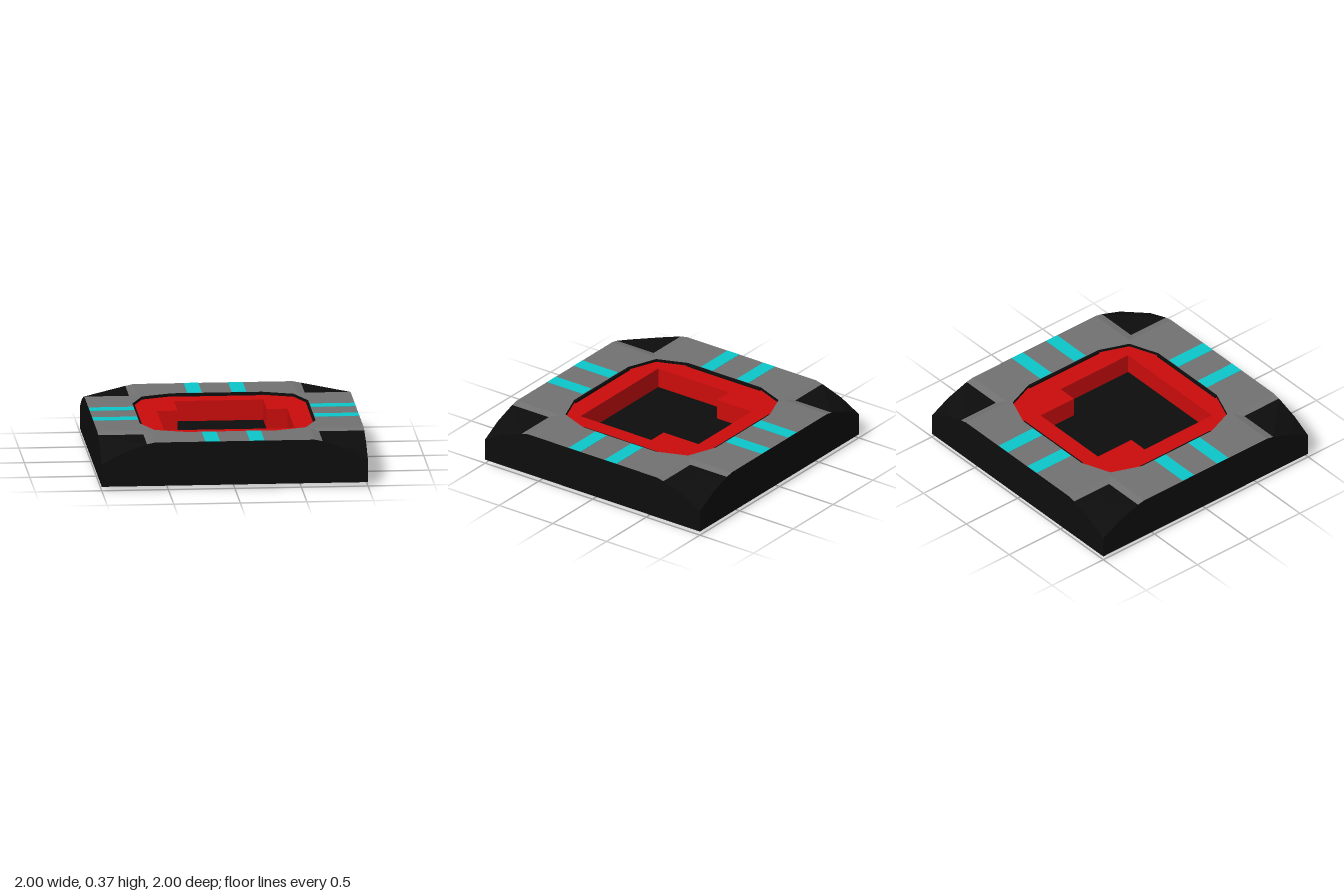
import * as THREE from 'three';

const mat = (color) => new THREE.MeshStandardMaterial({ color, side: THREE.DoubleSide, flatShading: true });

export function createModel() {
  const group = new THREE.Group();
  const black = mat(0x0d0d0d), red = mat(0xcc0c0c), grey = mat(0x727272), cyan = mat(0x0cc8cc);
  const TOP = 0.363, EDGE = 0.35, BASE = 0.03, RING = 0.34, BLOCK = 0.16, FLOOR = 0.185;

  const add = (name, geo, material, parent = group) => {
    const mesh = new THREE.Mesh(geo, material);
    mesh.name = name;
    parent.add(mesh);
    return mesh;
  };
  const vecs = (pts) => pts.map(([x, y]) => new THREE.Vector2(x, y));
  const shapeOf = (pts, hole) => {
    const s = new THREE.Shape(vecs(pts));
    if (hole) s.holes.push(new THREE.Path(vecs(hole)));
    return s;
  };
  // Lay a shape flat at height y, or raise it to a given height
  const flat = (shape, y) => new THREE.ShapeGeometry(shape).rotateX(-Math.PI / 2).translate(0, y, 0);
  const raise = (shape, y, depth) =>
    new THREE.ExtrudeGeometry(shape, { depth, bevelEnabled: false }).rotateX(-Math.PI / 2).translate(0, y, 0);
  // Convex faces given as lists of corners
  const faces = (list) => {
    const pos = [];
    for (const f of list)
      for (let i = 1; i < f.length - 1; i++) pos.push(...f[0], ...f[i], ...f[i + 1]);
    const g = new THREE.BufferGeometry();
    g.setAttribute('position', new THREE.Float32BufferAttribute(pos, 3));
    g.computeVertexNormals();
    return g;
  };
  // Repeat a quarter of an outline four times around the centre
  const around = (pts) => [0, 1, 2, 3].flatMap((k) => pts.map(([x, y]) =>
    [[x, y], [-y, x], [-x, -y], [y, -x]][k]));

  // Cross-shaped top with a twelve-sided opening
  const opening = around([[0.66, 0.34], [0.57, 0.57], [0.34, 0.66]]);
  const cross = around([[1, -0.6], [1, 0.6], [0.6, 0.6]]);
  add('topPlate', flat(shapeOf(cross, opening), TOP), grey);

  // Upright lip around the opening
  add('openingLip', faces(opening.map(([x, y], i) => {
    const [u, v] = opening[(i + 1) % opening.length];
    return [[x, TOP, -y], [u, TOP, -v], [u, RING, -v], [x, RING, -y]];
  })), black);

  // Side wall outline with its drooping ends
  const slope = [[1, 0.2], [0.84, 0.288], [0.66, EDGE], [0.6, TOP]];
  const wall = [[-1, BASE], [1, BASE], ...slope, ...slope.map(([x, y]) => [-x, y]).reverse()];

  for (let k = 0; k < 4; k++) {
    const side = new THREE.Group();
    side.name = 'side' + (k + 1);
    side.rotation.y = k * Math.PI / 2;
    group.add(side);

    add('outerWall', new THREE.ShapeGeometry(shapeOf(wall)).translate(0, 0, 1), black, side);

    // Sloped black corner
    const [c, a1, a0] = slope.map(([x, y]) => [x, y, 1]);
    const [, b1, b0] = slope.map(([x, y]) => [1, y, x]);
    add('cornerSlope', faces([
      [[0.66, EDGE, 0.66], a0, b0], [a0, a1, b1, b0], [a1, c, b1],
    ]), black, side);

    // Bevelled edges of the two arms beside the corner
    add('armBevel', faces([
      [[0.6, TOP, 0.6], [0.66, EDGE, 0.66], [1, EDGE, 0.66], [1, TOP, 0.6]],
      [[0.6, TOP, 0.6], [0.6, TOP, 1], [0.66, EDGE, 1], [0.66, EDGE, 0.66]],
    ]), grey, side);

    // Pair of stripes on the arm
    for (const s of [-1, 1])
      add('stripe', new THREE.BoxGeometry(0.11, 0.004, 0.335).translate(s * 0.167, TOP, 0.8315), cyan, side);

    // Black panel on the flat side of the red block
    add('blockPanel', new THREE.BoxGeometry(0.68, 0.183, 0.017).translate(0, 0.2665, 0.6535), black, side);
  }

  // Red block with a stepped well, and the plug that closes it and hangs below
  const well = [[-0.49, -0.49], [0.49, -0.49], [0.49, 0.17], [0.335, 0.17],
    [0.335, 0.495], [-0.335, 0.495], [-0.335, 0.17], [-0.49, 0.17]];
  const square = around([[0.658, 0.658]]);
  add('redBlock', raise(shapeOf(square, well), BLOCK, RING - BLOCK), red);
  add('blockUnderside', flat(shapeOf(square, well), BLOCK - 0.002), black);
  add('wellPlug', raise(shapeOf(well), 0, FLOOR), [black, red]);

  return group;
}
